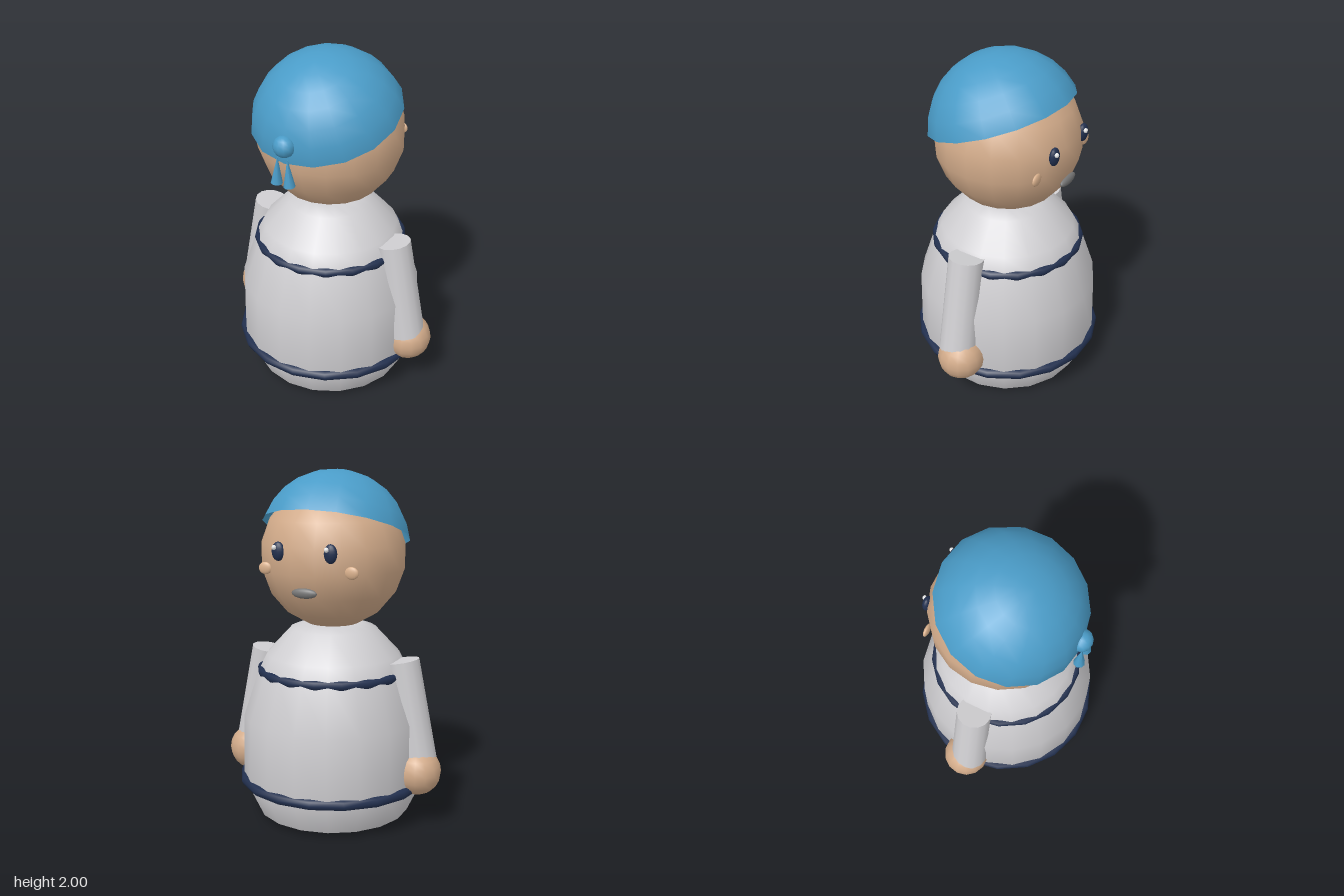
import * as THREE from 'three';

const mat = (name, color, extra = {}) => {
  const m = new THREE.MeshStandardMaterial({ color, ...extra });
  m.name = name;
  return m;
};

export function createModel() {
  const group = new THREE.Group();
  const cloth = mat('paleCloth', 0xd0cfd2);
  const skin = mat('skin', 0xd2ab8a);
  const blush = mat('blush', 0xd9b08c);
  const blue = mat('blueCloth', 0x4a9cc8, { side: THREE.DoubleSide });
  const navy = mat('navy', 0x22304f);
  const shoe = mat('darkGrey', 0x4a4a4a);
  const lip = mat('mouthGrey', 0x757575);
  const white = mat('white', 0xf2f2f2);

  const add = (name, geometry, material, x = 0, y = 0, z = 0) => {
    const mesh = new THREE.Mesh(geometry, material);
    mesh.name = name;
    mesh.position.set(x, y, z);
    group.add(mesh);
    return mesh;
  };
  const ball = (name, material, [x, y, z], [rx, ry, rz], w = 14, h = 10) => {
    const mesh = add(name, new THREE.SphereGeometry(1, w, h), material, x, y, z);
    mesh.scale.set(rx, ry, rz);
    return mesh;
  };

  // Robe with a flat underside
  const profile = [[0.445, 0.03], [0.53, 0.21], [0.52, 0.6], [0.43, 0.87],
    [0.385, 0.96], [0.245, 1.11], [0.16, 1.14], [0, 1.14]];
  add('robe', new THREE.LatheGeometry(profile.map(p => new THREE.Vector2(...p)), 18), cloth);
  add('robeBase', new THREE.CircleGeometry(0.445, 18).rotateZ(Math.PI / 2).rotateX(Math.PI / 2), cloth, 0, 0.03, 0);

  // Navy bands around the robe
  for (const [name, r, tube, y] of [['hemBand', 0.523, 0.03, 0.225], ['chestBand', 0.415, 0.027, 0.865]]) {
    add(name, new THREE.TorusGeometry(r, tube, 8, 18).rotateX(Math.PI / 2), navy, 0, y, 0);
  }

  // Head and tilted cap
  add('head', new THREE.SphereGeometry(0.413, 18, 9), skin, 0, 1.525, -0.005);
  const cap = add('headscarf', new THREE.SphereGeometry(0.433, 16, 6, 0, Math.PI * 2, 0, 1.353), blue, 0, 1.57, 0.005);
  cap.rotation.x = 0.349;

  // Knot with two tails
  ball('scarfKnot', blue, [0, 1.61, 0.43], [0.062, 0.06, 0.056], 12, 8);

  // Mouth
  ball('mouth', lip, [0, 1.36, -0.383], [0.075, 0.028, 0.02]);

  for (const s of [-1, 1]) {
    const side = s > 0 ? 'left' : 'right';

    const tail = add(side + 'ScarfTail', new THREE.ConeGeometry(0.032, 0.16, 8), blue, s * 0.036, 1.475, 0.447);
    tail.rotation.z = s * 0.06;

    // Sleeve leaning outwards, and hand
    const top = new THREE.Vector3(s * 0.42, 0.95, 0);
    const end = new THREE.Vector3(s * 0.527, 0.37, 0);
    const axis = top.clone().sub(end);
    const sleeve = add(side + 'Sleeve', new THREE.CylinderGeometry(0.1, 0.11, axis.length(), 14), cloth);
    sleeve.position.copy(top).add(end).multiplyScalar(0.5);
    sleeve.quaternion.setFromUnitVectors(new THREE.Vector3(0, 1, 0), axis.normalize());
    ball(side + 'Hand', skin, [s * 0.532, 0.32, -0.022], [0.136, 0.136, 0.136]);

    // Face details
    ball(side + 'Eye', navy, [s * 0.153, 1.578, -0.382], [0.038, 0.052, 0.024]);
    ball(side + 'EyeGlint', white, [s * 0.153 + 0.014, 1.6, -0.404], [0.014, 0.014, 0.012], 8, 6);
    ball(side + 'Cheek', blush, [s * 0.255, 1.477, -0.34], [0.04, 0.034, 0.014]);

    // Foot showing under the robe
    ball(side + 'Foot', shoe, [s * 0.2, 0.1, -0.1], [0.145, 0.1, 0.225]);
  }
  return group;
}
